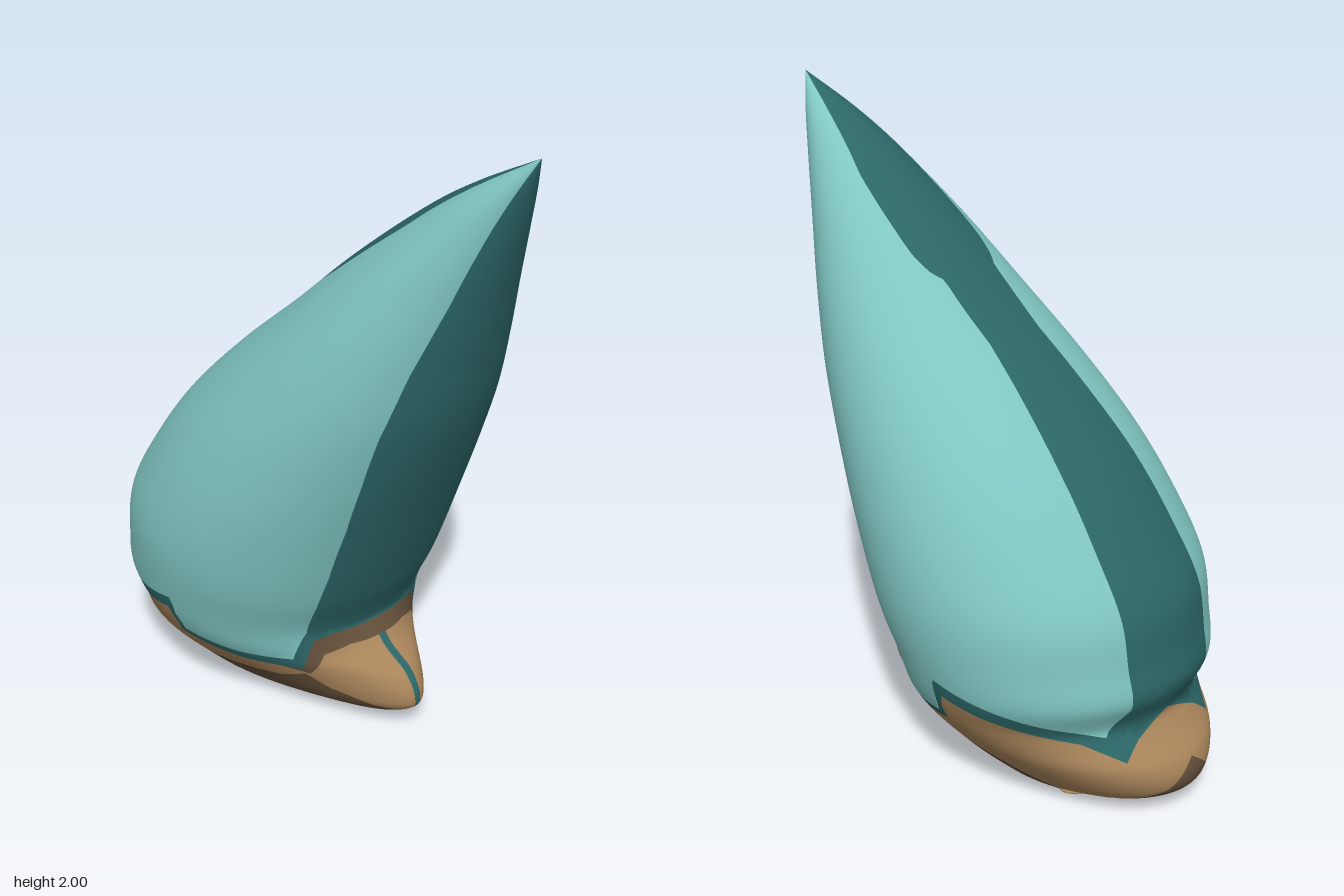
import * as THREE from 'three';

const TOP = 2, BASE = 0.02, COLLAR = 0.76;

// Smooth (Hermite) or straight interpolation through [position, value] points
function curve(points, smooth = true) {
  const slope = i => {
    const a = points[Math.max(i - 1, 0)], b = points[Math.min(i + 1, points.length - 1)];
    return (b[1] - a[1]) / (b[0] - a[0]);
  };
  return p => {
    if (p <= points[0][0]) return points[0][1];
    for (let i = 0; i < points.length - 1; i++) {
      const [a, va] = points[i], [b, vb] = points[i + 1];
      if (p > b) continue;
      const h = b - a, k = (p - a) / h;
      if (!smooth) return va + (vb - va) * k;
      const k2 = k * k, k3 = k2 * k;
      return va * (2 * k3 - 3 * k2 + 1) + vb * (3 * k2 - 2 * k3)
        + h * (slope(i) * (k3 - 2 * k2 + k) + slope(i + 1) * (k3 - k2));
    }
    return points[points.length - 1][1];
  };
}

// Body outline by height: two edges, half depth, and how far the nose sticks out
const edgeRight = curve([[0.02, -0.66], [0.05, -0.75], [0.1, -0.8], [0.18, -0.79], [0.25, -0.725], [0.3, -0.695],
  [0.4, -0.735], [0.5, -0.72], [0.65, -0.69], [0.8, -0.6], [1, -0.45], [1.2, -0.25], [1.4, -0.02], [1.6, 0.2],
  [1.8, 0.45], [1.9, 0.605], [2, 0.79]]);
const edgeLeft = curve([[0.02, 0], [0.05, 0.1], [0.1, 0.16], [0.2, 0.21], [0.35, 0.225], [0.5, 0.29], [0.8, 0.405],
  [1, 0.485], [1.2, 0.56], [1.4, 0.615], [1.6, 0.67], [1.8, 0.73], [2, 0.79]]);
const depth = curve([[0.02, 0.23], [0.1, 0.305], [0.2, 0.39], [0.3, 0.45], [0.4, 0.485], [0.6, 0.513], [0.8, 0.498],
  [1, 0.456], [1.2, 0.395], [1.4, 0.32], [1.6, 0.232], [1.8, 0.132], [1.9, 0.074], [2, 0]]);
const nose = curve([[0.02, 0.02], [0.05, 0.2], [0.08, 0.24], [0.12, 0.25], [0.22, 0.165], [0.27, 0.07], [0.35, 0]]);

// Colour borders: heights across the side (t = 0..1), and side stripes by height
const darkBrownTop = curve([[0, 0.18], [0.1, 0.1], [0.25, 0.03], [0.4, 0.04], [0.5, 0.1], [0.6, 0.15], [0.75, 0.16],
  [0.8, 0.19], [0.83, 0.14], [0.9, 0.1], [1, 0.09]], false);
const brownTop = curve([[0, 0.31], [0.1, 0.26], [0.165, 0.21], [0.225, 0.27], [0.366, 0.32], [0.515, 0.37],
  [0.525, 0.27], [0.673, 0.225], [0.8, 0.21], [0.85, 0.325], [0.9, 0.34], [1, 0.345]], false);
const trimTop = curve([[0, 0.48], [0.1, 0.42], [0.165, 0.28], [0.225, 0.31], [0.366, 0.365], [0.53, 0.42],
  [0.54, 0.29], [0.673, 0.26], [0.79, 0.25], [0.84, 0.37], [0.9, 0.39], [1, 0.4]], false);
const collarCurve = curve([[COLLAR, 0.213], [0.81, 0.193], [0.86, 0.27], [0.92, 0.295], [1, 0.3]], false);
const collarLow = t => t < COLLAR ? brownTop(t) : Math.min(brownTop(t), collarCurve(t));
const stripeRight = curve([[0.35, 0.12], [0.7, 0.115], [1, 0.113], [1.3, 0.1], [1.48, 0.125], [1.57, 0.195],
  [1.75, 0.26], [2, 0.26]], false);
const stripeLeft = curve([[0.35, 0.835], [0.6, 0.845], [0.8, 0.84], [1, 0.825], [1.2, 0.805], [1.4, 0.8], [1.6, 0.81],
  [1.8, 0.8], [2, 0.8]], false);

// Point on the front half of the body
function bodyPoint(t, y) {
  const a = edgeRight(y), b = edgeLeft(y), z = depth(y) * Math.sin(Math.PI * t);
  let x = (a + b) / 2 - (b - a) / 2 * Math.cos(Math.PI * t);
  if (t > 0.5) x += nose(y) * Math.exp(-((z / 0.17) ** 2));
  return new THREE.Vector3(x, y, z);
}

function bodyNormal(t, y) {
  const e = 0.004, yc = THREE.MathUtils.clamp(y, BASE + e, 1.98);
  const dt = bodyPoint(t + e, yc).sub(bodyPoint(t - e, yc));
  const dy = bodyPoint(t, yc + e).sub(bodyPoint(t, yc - e));
  return dt.cross(dy).normalize();
}

// Grid surface from (s, v) -> { p, n }, side = 1 front or -1 mirrored to the back
function gridGeometry(cols, rows, side, sample) {
  const pos = [], nor = [], idx = [];
  for (let r = 0; r <= rows; r++) for (let c = 0; c <= cols; c++) {
    const { p, n } = sample(c / cols, r / rows);
    pos.push(p.x, p.y, p.z * side);
    nor.push(n.x, n.y, n.z * side);
    if (r === rows || c === cols) continue;
    const a = r * (cols + 1) + c, b = a + 1, d = a + cols + 1, e = d + 1;
    if (side > 0) idx.push(a, b, e, a, e, d);
    else idx.push(a, e, b, a, d, e);
  }
  const g = new THREE.BufferGeometry();
  g.setAttribute('position', new THREE.Float32BufferAttribute(pos, 3));
  g.setAttribute('normal', new THREE.Float32BufferAttribute(nor, 3));
  g.setIndex(idx);
  return g;
}

export function createModel() {
  const model = new THREE.Group();
  const material = (name, color) => new THREE.MeshStandardMaterial({ name, color });
  const teal = material('light teal', 0x80c6c2);
  const darkTeal = material('dark teal', 0x2c6667);
  const brown = material('light brown', 0xa8845a);
  const darkBrown = material('dark brown', 0x64503a);

  const add = (name, geometry, mat) => {
    const mesh = new THREE.Mesh(geometry, mat);
    mesh.name = name;
    model.add(mesh);
    return mesh;
  };
  const at = value => () => value;

  for (const side of [1, -1]) {
    const label = side > 0 ? 'front' : 'back';
    // Patch of the body between two t borders and two height borders
    const patch = (name, mat, cols, rows, t0, t1, low, high) =>
      add(label + name, gridGeometry(cols, rows, side, (s, v) => {
        const stripeY = 0.35 + 1.65 * v;
        const t = THREE.MathUtils.lerp(t0(stripeY), t1(stripeY), s);
        const y = THREE.MathUtils.lerp(low(t), high(t), v);
        return { p: bodyPoint(t, y), n: bodyNormal(t, y) };
      }), mat);

    // Upper shell
    patch('Shell', teal, 120, 80, stripeRight, stripeLeft, trimTop, at(TOP));
    patch('RightStripe', darkTeal, 16, 80, at(0), stripeRight, trimTop, at(TOP));
    patch('LeftStripe', darkTeal, 20, 80, stripeLeft, at(1), trimTop, at(TOP));
    patch('ShellTrim', darkTeal, 200, 4, at(0), at(1), brownTop, trimTop);

    // Lower body, with a dark collar above the nose and a thin seam on it
    const seam = at(0.99);
    patch('UpperBase', brown, 198, 14, at(0), seam, darkBrownTop, collarLow);
    patch('NoseCollar', darkBrown, 48, 4, at(COLLAR), at(1), collarLow, brownTop);
    patch('LowerBase', darkBrown, 198, 14, at(0), seam, at(BASE), darkBrownTop);
    patch('NoseSeam', darkTeal, 2, 30, seam, at(1), at(BASE), collarLow);

    // Underside, closed in to the middle
    const down = new THREE.Vector3(0, -1, 0);
    add(label + 'Underside', gridGeometry(80, 4, side, (s, v) => {
      const p = bodyPoint(s, BASE);
      p.z *= v;
      return { p, n: down };
    }), darkBrown);
  }

  // Seam line under the base
  add('undersideSeam', new THREE.BoxGeometry(0.66, 0.008, 0.03), darkTeal).position.set(-0.32, 0.015, 0);

  // Flat foot lip
  const foot = add('foot', new THREE.SphereGeometry(1, 32, 16), brown);
  foot.scale.set(0.09, 0.022, 0.22);
  foot.position.set(-0.48, 0.022, 0);

  return model;
}
